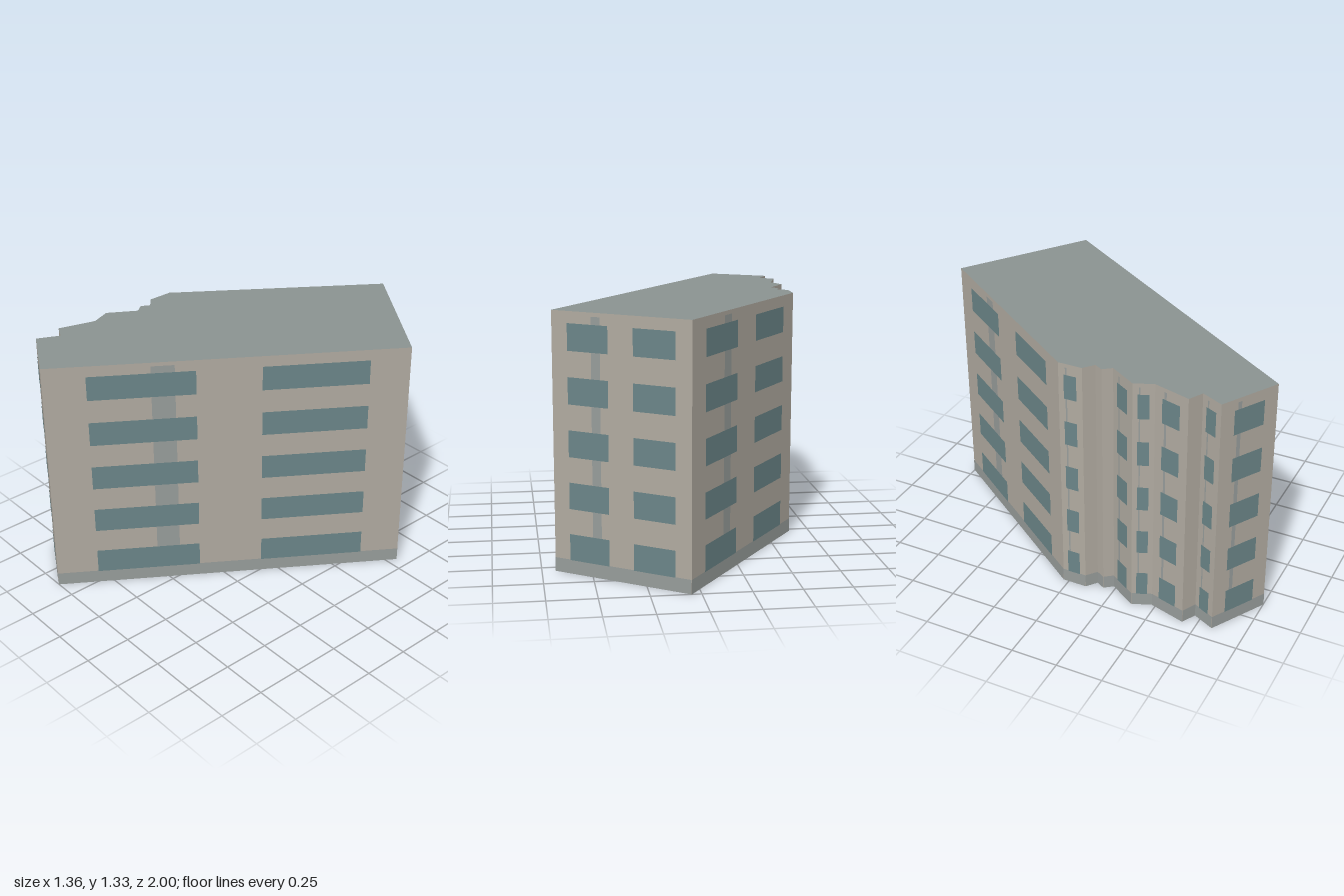
import * as THREE from 'three';

const HEIGHT = 1.33, FLOORS = 5, BASE = 0.073;
const STOREY = HEIGHT / FLOORS;

// Footprint corners [x, z], ordered left to right as seen from outside
const OUTLINE = [
  [-0.66, 0.83], [-0.37, 1.0], [0.68, -0.555], [0.05, -1.0], [-0.64, -0.03],
  [-0.64, 0.10], [-0.585, 0.145], [-0.61, 0.19], [-0.575, 0.235],
  [-0.665, 0.38], [-0.625, 0.48], [-0.68, 0.675], [-0.605, 0.715],
];

export function createModel() {
  const model = new THREE.Group();
  model.name = 'apartmentBlock';

  const mat = (color, side = THREE.FrontSide) => new THREE.MeshStandardMaterial({ color, side });
  const wallMat = mat(0xb0aaa0, THREE.DoubleSide);
  const roofMat = mat(0x8a9290, THREE.DoubleSide);
  const trimMat = mat(0x979c9a);
  const glassMat = mat(0x6b8588);

  // Flat rectangle on a facade, from (u0, v0) to (u1, v1), raised by depth
  const addPanel = (facade, name, material, u0, u1, v0, v1, depth) => {
    const panel = new THREE.Mesh(new THREE.PlaneGeometry(u1 - u0, v1 - v0), material);
    panel.position.set((u0 + u1) / 2, (v0 + v1) / 2, depth);
    panel.name = name;
    facade.add(panel);
  };

  // One facade per footprint edge
  OUTLINE.forEach(([x0, z0], i) => {
    const [x1, z1] = OUTLINE[(i + 1) % OUTLINE.length];
    const w = Math.hypot(x1 - x0, z1 - z0);
    const facade = new THREE.Group();
    facade.name = 'facade';
    facade.position.set(x0, 0, z0);
    facade.rotation.y = Math.atan2(z0 - z1, x1 - x0);
    model.add(facade);

    addPanel(facade, 'wall', wallMat, 0, w, 0, HEIGHT, 0);
    addPanel(facade, 'plinth', trimMat, 0, w, 0, BASE, 0.0015);
    if (w < 0.1) return; // narrow returns stay blank

    // Wide facades carry two window columns, narrow ones a single column
    const columns = w > 0.5 ? [[0.117, 0.412], [0.592, 0.888]] : [[0.23, 0.76]];
    addPanel(facade, 'verticalStrip', trimMat, w * 0.29, w * 0.355, BASE, 1.31, 0.0015);
    for (let f = 0; f < FLOORS; f++) {
      const sill = f * STOREY + 0.071;
      for (const [a, b] of columns) {
        addPanel(facade, 'window', glassMat, w * a, w * b, sill, sill + 0.136, 0.003);
      }
    }
  });

  // Flat roof over the footprint
  const shape = new THREE.Shape(OUTLINE.map(([x, z]) => new THREE.Vector2(x, -z)));
  const roof = new THREE.Mesh(new THREE.ShapeGeometry(shape).rotateX(-Math.PI / 2), roofMat);
  roof.position.y = HEIGHT;
  roof.name = 'roof';
  model.add(roof);

  return model;
}
